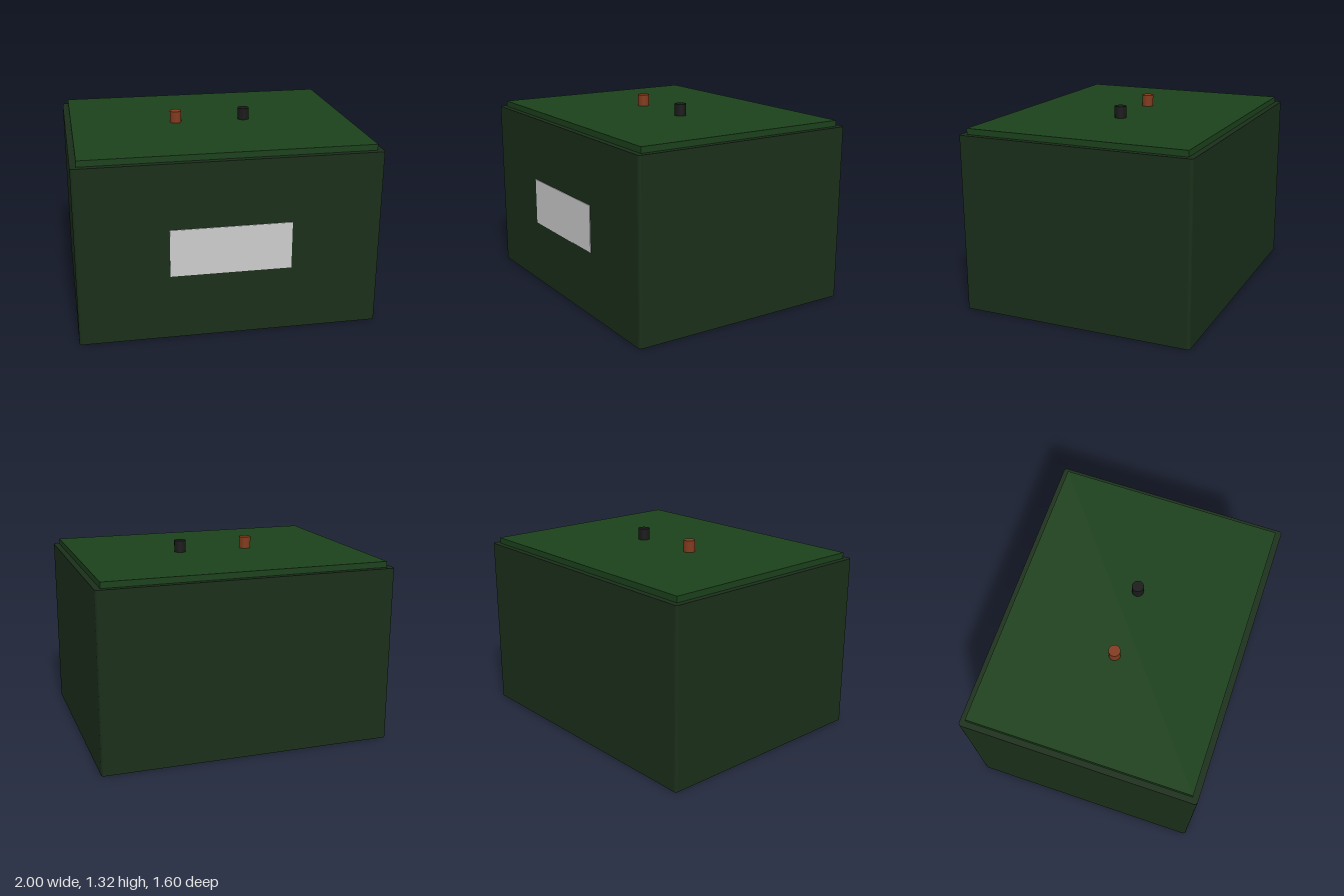
import * as THREE from 'three';

const material = (color) => new THREE.MeshStandardMaterial({ color });

function addPart(group, name, geometry, color, x, y, z) {
  const mesh = new THREE.Mesh(geometry, material(color));
  mesh.name = name;
  mesh.position.set(x, y, z);
  group.add(mesh);
  return mesh;
}

// Rectangle in plan with small rounded corners
function roundedRect(w, d, r) {
  const x = w / 2, y = d / 2, s = new THREE.Shape();
  s.absarc(x - r, y - r, r, 0, Math.PI / 2);
  s.absarc(-x + r, y - r, r, Math.PI / 2, Math.PI);
  s.absarc(-x + r, -y + r, r, Math.PI, Math.PI * 1.5);
  s.absarc(x - r, -y + r, r, Math.PI * 1.5, Math.PI * 2);
  s.closePath();
  return s;
}

export function createModel() {
  const group = new THREE.Group();
  group.name = 'battery';

  // Case: rounded upright edges, sharp top and bottom rims
  const caseGeometry = new THREE.ExtrudeGeometry(roundedRect(2, 1.6, 0.02), {
    depth: 1.2, bevelEnabled: false, curveSegments: 4,
  });
  caseGeometry.rotateX(-Math.PI / 2);
  addPart(group, 'case', caseGeometry, 0x1a2e1a, 0, 0, 0);

  // Inset lid
  addPart(group, 'lid', new THREE.BoxGeometry(1.92, 0.04, 1.52), 0x1b401b, 0, 1.22, 0);

  // Two terminals on the lid
  const terminals = [['positiveTerminal', -0.24, 0x803a1c], ['negativeTerminal', 0.24, 0x1a1a1a]];
  for (const [name, x, color] of terminals) {
    addPart(group, name, new THREE.CylinderGeometry(0.04, 0.04, 0.08, 16), color, x, 1.28, 0);
  }

  // Blank label plate on the front
  addPart(group, 'label', new THREE.BoxGeometry(0.8, 0.32, 0.008), 0xcccccc, 0, 0.6, 0.8);

  return group;
}
